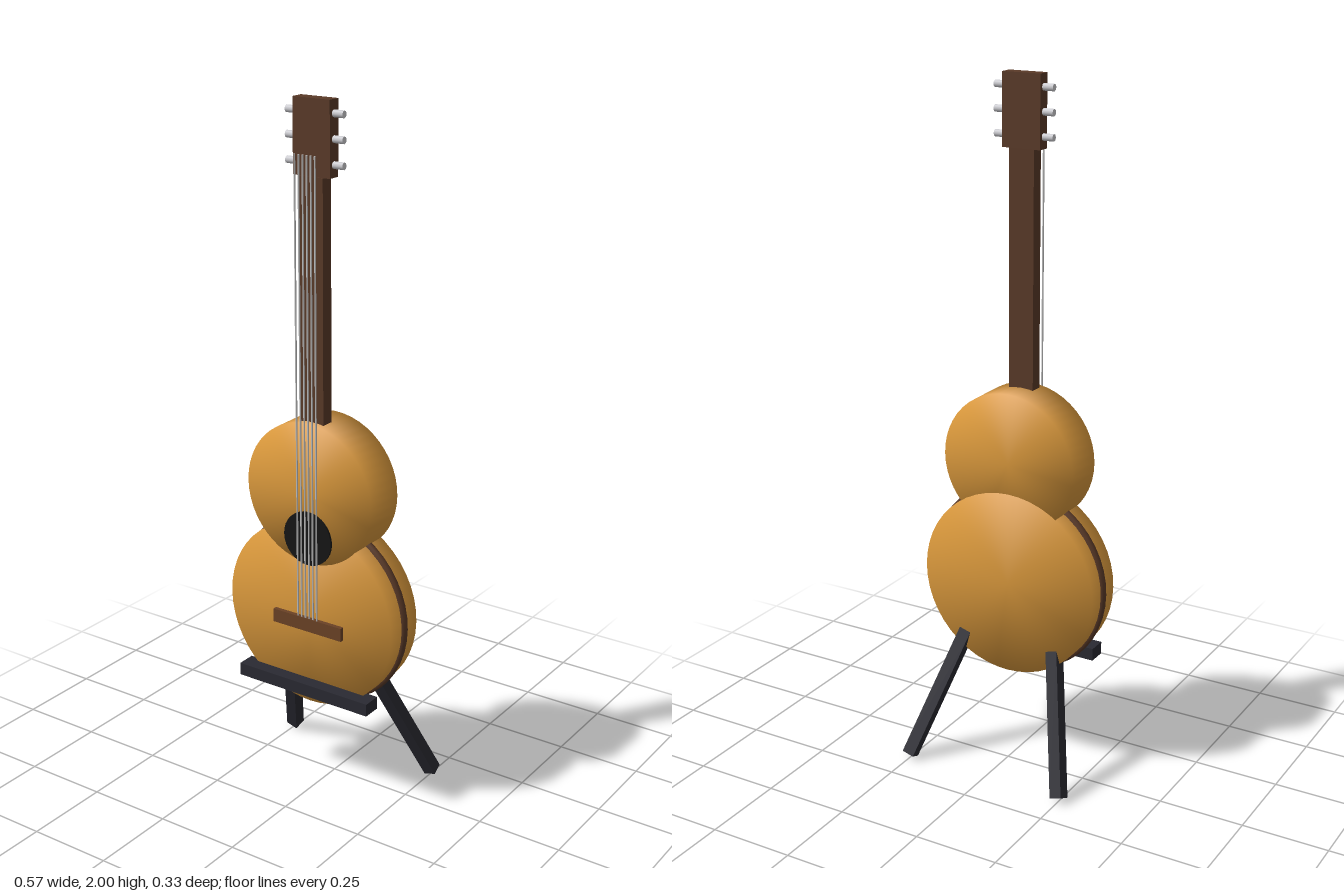
import * as THREE from 'three';
import { mergeVertices } from 'three/addons/utils/BufferGeometryUtils.js';

const mat = (name, color) => {
  const m = new THREE.MeshStandardMaterial({ color });
  m.name = name;
  return m;
};

export function createModel() {
  const guitar = new THREE.Group();
  guitar.name = 'guitarOnStand';
  const honey = mat('honeyWood', 0xd9983c);
  const brown = mat('darkWood', 0x5a3a28);
  const bridgeWood = mat('bridgeWood', 0x6b4226);
  const black = mat('soundHoleBlack', 0x161616);
  const steel = mat('stringSteel', 0xc4c4c4);
  const chrome = mat('tunerMetal', 0xcfcfd4);
  const standPaint = mat('standBlack', 0x2a2a32);

  const add = (name, geometry, material, x, y, z) => {
    const mesh = new THREE.Mesh(geometry, material);
    mesh.name = name;
    mesh.position.set(x, y, z);
    guitar.add(mesh);
    return mesh;
  };
  const box = (w, h, d) => new THREE.BoxGeometry(w, h, d);

  // Disc facing z; shared rim vertices give the soft shading of the body
  const bout = (radius, depth) => {
    const g = new THREE.CylinderGeometry(radius, radius, depth, 48).rotateX(Math.PI / 2);
    g.deleteAttribute('normal');
    g.deleteAttribute('uv');
    const soft = mergeVertices(g);
    soft.computeVertexNormals();
    return soft;
  };

  // Body
  add('lowerBout', bout(0.274, 0.131), honey, 0, 0.564, 0.061);
  add('upperBout', bout(0.206, 0.131), honey, 0, 0.927, 0.062);
  add('bodyBinding', new THREE.TorusGeometry(0.271, 0.013, 10, 48), brown, 0, 0.564, 0.06);
  add('soundHole', new THREE.CylinderGeometry(0.079, 0.079, 0.01, 32).rotateX(Math.PI / 2),
    black, 0, 0.797, 0.129);
  add('bridge', box(0.232, 0.04, 0.018), bridgeWood, 0, 0.535, 0.13);

  // Neck and head
  add('neck', box(0.076, 0.72, 0.038), brown, 0, 1.44, 0.09);
  add('headstock', box(0.116, 0.2, 0.038), brown, 0, 1.9, 0.087);

  // Strings
  for (let i = 0; i < 6; i++) {
    add('string', new THREE.CylinderGeometry(0.0025, 0.0025, 1.31, 6), steel,
      (i - 2.5) * 0.0128, 1.205, 0.1355);
  }

  for (const side of [-1, 1]) {
    // Tuning pegs
    for (const y of [1.833, 1.899, 1.964]) {
      add('tuningPeg', new THREE.CylinderGeometry(0.01, 0.01, 0.05, 8).rotateZ(Math.PI / 2),
        chrome, side * 0.065, y, 0.087);
    }
    // Splayed rear legs, pivoting at the foot
    const leg = add('standLeg', box(0.037, 0.42, 0.037).translate(0, 0.21, 0), standPaint,
      side * 0.251, 0.012, -0.148);
    leg.rotation.set(0.4, 0, side * 0.28, 'ZYX');
  }

  // Front rest of the stand
  add('standCrossbar', box(0.44, 0.037, 0.055), standPaint, 0, 0.343, 0.1375);

  return guitar;
}
